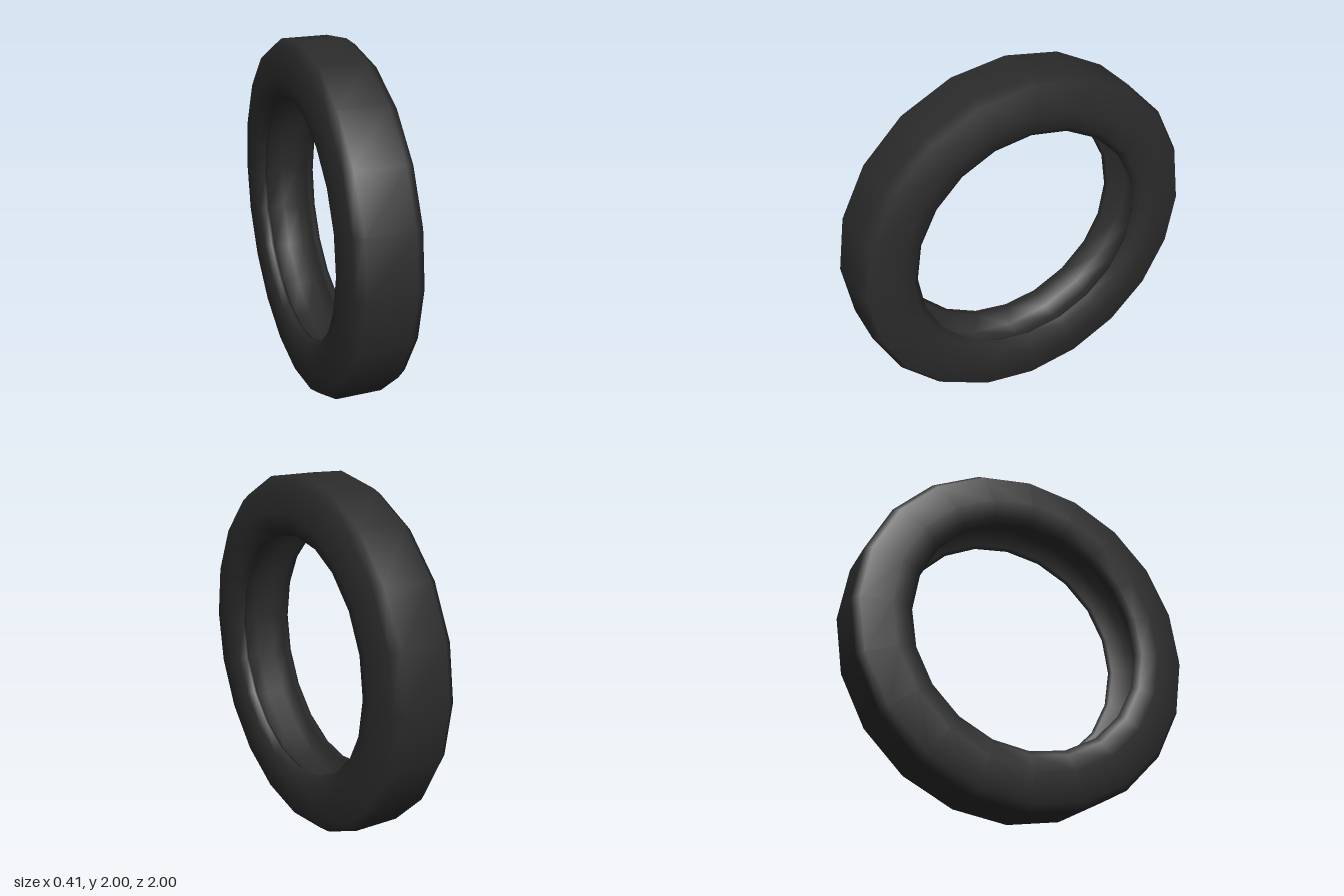
import * as THREE from 'three';

export function createModel() {
  const group = new THREE.Group();
  group.name = 'tire';
  const rubber = new THREE.MeshStandardMaterial({ color: 0x2b2b2b });
  rubber.name = 'blackRubber';

  // Half cross-section [radius, offset along the axle]: channel floor, bead lip, sidewall, shoulder, tread
  const half = [
    [0.80, 0.10], [0.69, 0.125], [0.675, 0.147], [0.71, 0.18],
    [0.80, 0.205], [0.965, 0.178], [1.0, 0.13],
  ];
  // Closed loop: one side outward, mirrored side back to the channel floor
  const profile = [
    new THREE.Vector2(0.80, 0),
    ...half.map(([r, w]) => new THREE.Vector2(r, -w)),
    ...half.slice().reverse().map(([r, w]) => new THREE.Vector2(r, w)),
    new THREE.Vector2(0.80, 0),
  ];

  // Twenty-sided ring turned onto the x axis, resting on the ground
  const geometry = new THREE.LatheGeometry(profile, 20);
  geometry.rotateZ(Math.PI / 2);
  geometry.translate(0, 1, 0);

  const tire = new THREE.Mesh(geometry, rubber);
  tire.name = 'tireRing';
  group.add(tire);
  return group;
}
